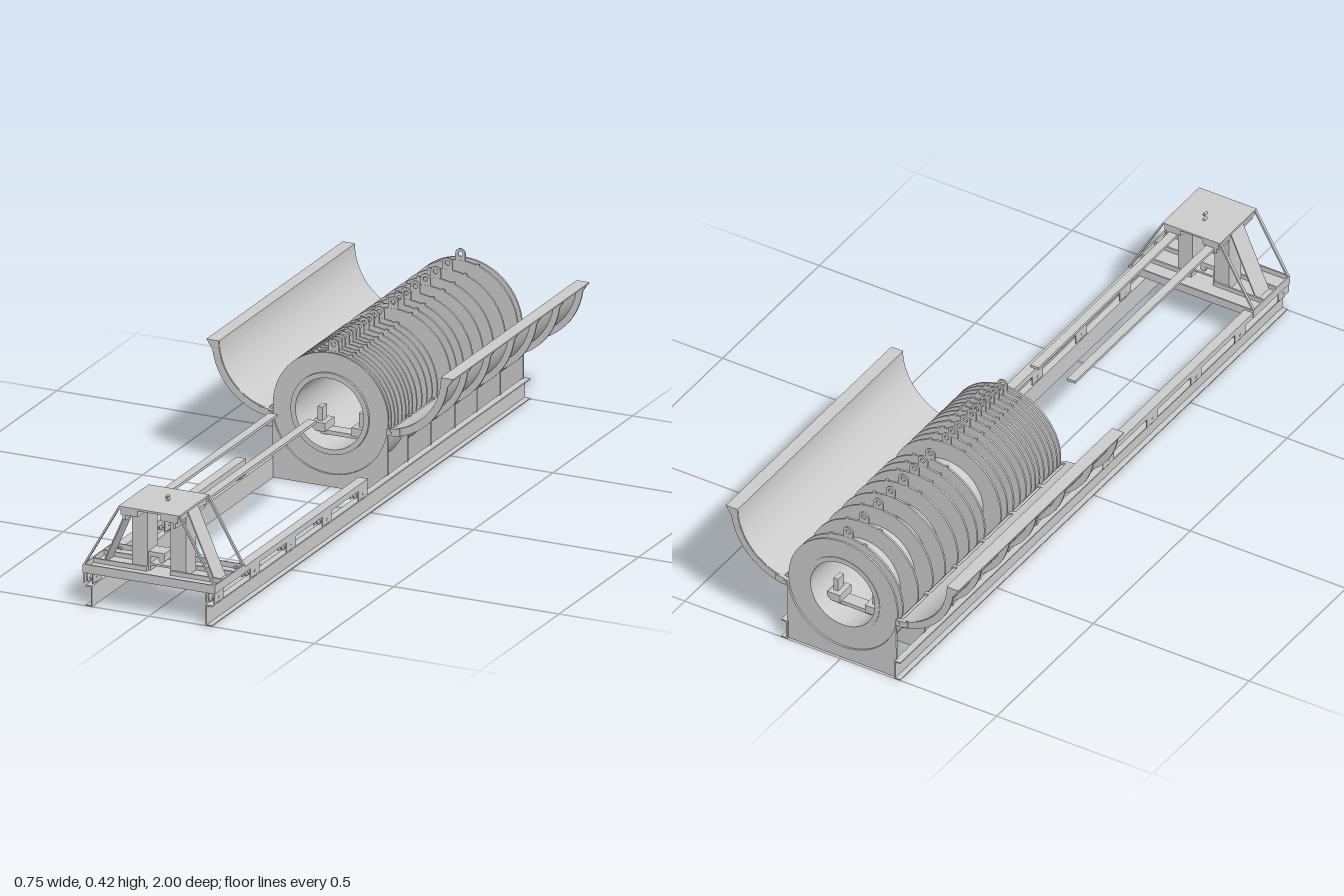
import * as THREE from 'three';
import { toCreasedNormals } from 'three/addons/utils/BufferGeometryUtils.js';

const mat = new THREE.MeshStandardMaterial({ color: 0xcccccc, side: THREE.DoubleSide });
const CY = 0.212, R = 0.175;          // axis height and trough radius
const Z_FRONT = -0.14, Z_BACK = -0.99;

export function createModel() {
  const root = new THREE.Group();

  function group(name) {
    const g = new THREE.Group();
    g.name = name;
    root.add(g);
    return g;
  }
  function add(parent, name, geo) {
    const m = new THREE.Mesh(geo, mat);
    m.name = name;
    parent.add(m);
    return m;
  }
  // box given by its limits on each axis
  function box(parent, name, x0, x1, y0, y1, z0, z1) {
    const g = new THREE.BoxGeometry(Math.abs(x1 - x0), Math.abs(y1 - y0), Math.abs(z1 - z0));
    g.translate((x0 + x1) / 2, (y0 + y1) / 2, (z0 + z1) / 2);
    return add(parent, name, g);
  }
  // flat outline in xy, extruded from z0 to z1
  function plate(parent, name, shape, z0, z1) {
    const g = new THREE.ExtrudeGeometry(shape, { depth: z1 - z0, bevelEnabled: false, curveSegments: 48 });
    g.translate(0, 0, z0);
    return add(parent, name, toCreasedNormals(g, 0.5));
  }
  function arc(cx, cy, r, a0, a1, n = 36) {
    return Array.from({ length: n + 1 }, (_, i) => {
      const a = THREE.MathUtils.degToRad(a0 + (a1 - a0) * i / n);
      return [cx + r * Math.cos(a), cy + r * Math.sin(a)];
    });
  }
  const outline = (pts, s = 1) => new THREE.Shape(pts.map(([x, y]) => new THREE.Vector2(x * s, y)));
  const band = (cx, cy, r0, r1, a0, a1) => [...arc(cx, cy, r0, a0, a1), ...arc(cx, cy, r1, a1, a0)];
  function bar(parent, name, x, y, z, r, len, axis = 'z', sides = 16) {
    const g = new THREE.CylinderGeometry(r, r, len, sides);
    if (axis === 'z') g.rotateX(Math.PI / 2);
    else if (axis === 'x') g.rotateZ(Math.PI / 2);
    g.translate(x, y, z);
    return add(parent, name, g);
  }

  const ribZ = [Z_FRONT, -0.265, -0.41, -0.56, -0.70, -0.845, Z_BACK];

  // channel rails running the whole length
  const rails = group('rails');
  for (const s of [-1, 1]) {
    box(rails, 'railWeb', s * 0.171, s * 0.175, 0, 0.06, -1, 1);
    box(rails, 'railLowerFlange', s * 0.171, s * 0.191, 0, 0.003, -1, 1);
    box(rails, 'railUpperFlange', s * 0.171, s * 0.191, 0.056, 0.06, -1, 1);
  }

  // lower trough with saddle plates
  const trough = group('trough');
  plate(trough, 'troughShell', outline(band(0, CY, R, R + 0.004, -172, -8)), Z_BACK, Z_FRONT);
  const saddle = outline([[-0.175, 0], [0.175, 0], [0.175, 0.185], ...arc(0, CY, R, -9, -171)]);
  for (const z of ribZ) plate(trough, 'saddle', saddle, z - 0.003, z + 0.003);

  // open quarter doors with ribs, rim and hinges
  const DX = 0.16, DY = 0.37;
  for (const s of [-1, 1]) {
    const door = group(s > 0 ? 'leftDoor' : 'rightDoor');
    plate(door, 'doorShell', outline(band(DX, DY, R, R + 0.004, -80, 0), s), Z_BACK, Z_FRONT);
    box(door, 'doorRim', s * 0.335, s * 0.373, 0.366, 0.37, Z_BACK, Z_FRONT);
    const rib = [...arc(DX, DY, R + 0.001, -82, 0), [0.373, 0.37], ...arc(DX, DY, 0.197, -8, -82)];
    const knuckle = [[0.171, 0.178], [0.19, 0.178], [0.212, 0.183], [0.212, 0.2], [0.186, 0.198], [0.173, 0.194]];
    for (const z of ribZ) {
      plate(door, 'doorRib', outline(rib, s), z - 0.003, z + 0.003);
      plate(door, 'hingeKnuckle', outline(knuckle, s), z - 0.006, z + 0.006);
    }
    bar(door, 'hingeRod', s * 0.182, 0.187, (Z_FRONT + Z_BACK) / 2, 0.006, 0.865);
  }

  // hollow drum core
  const drum = group('drum');
  const tube = new THREE.LatheGeometry([
    [0.103, 0.135], [0.118, 0.135], [0.118, 0.99], [0.103, 0.99], [0.103, 0.135],
  ].map(([r, y]) => new THREE.Vector2(r, y)), 64);
  tube.rotateX(-Math.PI / 2);
  tube.translate(0, CY, 0);
  add(drum, 'coreTube', toCreasedNormals(tube, 0.5));

  // thin discs with lifting eyes, wider apart toward the back
  const disc = new THREE.Shape();
  disc.absarc(0, CY, 0.1745, 0, Math.PI * 2);
  disc.holes.push(new THREE.Path().absarc(0, CY, 0.116, 0, Math.PI * 2, true));
  const lug = outline([[-0.015, 0.38], [0.015, 0.38], ...arc(0, 0.405, 0.015, 0, 180, 16)]);
  lug.holes.push(new THREE.Path().absarc(0, 0.405, 0.007, 0, Math.PI * 2, true));
  const discZ = [-0.145, -0.163, -0.184, -0.205, -0.23, -0.253, -0.274, -0.296, -0.322, -0.354, -0.387,
    -0.419, -0.451, -0.536, -0.574, -0.617, -0.675, -0.74, -0.804, -0.879, -0.959, -0.985];
  discZ.forEach((z, i) => {
    plate(drum, 'disc', disc, z - 0.003, z + 0.003);
    if (i === 0 || i === discZ.length - 1) return;
    plate(drum, 'liftingEye', lug, z - 0.0025, z + 0.0025);
    for (const s of [-1, 1]) box(drum, 'discTab', s * 0.048, s * 0.058, 0.376, 0.383, z - 0.003, z + 0.003);
  });

  // clamp blocks inside both ends of the drum
  for (const z of [-0.22, -0.91]) {
    for (const s of [-1, 1]) {
      box(drum, 'clampFoot', s * 0.04, s * 0.08, 0.135, 0.16, z - 0.03, z + 0.03);
      box(drum, 'clampPost', s * 0.055, s * 0.07, 0.15, 0.2, z - 0.015, z + 0.015);
    }
    box(drum, 'clampBridge', -0.06, 0.06, 0.125, 0.137, z - 0.02, z + 0.02);
  }

  // carriage side beams on grooved rollers
  const carriage = group('carriage');
  const rollerProfile = [[0, -0.012], [0.017, -0.012], [0.017, -0.008], [0.01, -0.003],
    [0.01, 0.003], [0.017, 0.008], [0.017, 0.012], [0, 0.012]].map(([r, y]) => new THREE.Vector2(r, y));
  for (const s of [-1, 1]) {
    box(carriage, 'sideBeamTop', s * 0.17, s * 0.199, 0.108, 0.112, 0.035, 0.82);
    box(carriage, 'sideBeamWeb', s * 0.17, s * 0.174, 0.095, 0.112, 0.035, 0.82);
    box(carriage, 'sideBeamLip', s * 0.195, s * 0.199, 0.095, 0.112, 0.035, 0.82);
    for (const z of [0.065, 0.292, 0.518, 0.745, 0.97]) {
      const g = new THREE.LatheGeometry(rollerProfile, 24);
      g.rotateZ(Math.PI / 2);
      g.translate(s * 0.184, 0.078, z);
      add(carriage, 'roller', toCreasedNormals(g, 0.4));
      box(carriage, 'rollerCheekOuter', s * 0.195, s * 0.198, 0.066, 0.097, z - 0.028, z + 0.028);
      box(carriage, 'rollerCheekInner', s * 0.17, s * 0.173, 0.066, 0.097, z - 0.028, z + 0.028);
      bar(carriage, 'rollerAxle', s * 0.184, 0.078, z, 0.004, 0.03, 'x');
    }
  }

  // carriage base frame
  box(carriage, 'baseFloor', -0.197, 0.197, 0.1, 0.105, 0.812, 0.998);
  for (const z of [0.81, 0.996]) box(carriage, 'baseCrossPlate', -0.2, 0.2, 0.095, 0.12, z, z + 0.004);
  for (const s of [-1, 1]) {
    box(carriage, 'baseSidePlate', s * 0.196, s * 0.2, 0.095, 0.12, 0.81, 1);
    for (const z of [0.868, 0.936]) box(carriage, 'baseStiffener', s * 0.035, s * 0.198, 0.1, 0.118, z, z + 0.005);
  }

  // tower: columns, sloping panels, corner struts and guide bars
  const tower = group('tower');
  box(tower, 'topPlate', -0.092, 0.092, 0.299, 0.305, 0.81, 1);
  for (const s of [-1, 1]) {
    box(tower, 'column', s * 0.035, s * 0.082, 0.104, 0.282, 0.874, 0.936);
    box(tower, 'topBeam', s * 0.035, s * 0.086, 0.281, 0.3, 0.812, 0.998);
    box(tower, 'guideBar', s * 0.046, s * 0.072, 0.272, 0.28, 0.095, 0.9);
    box(tower, 'guideBarHanger', s * 0.072, s * 0.08, 0.266, 0.283, 0.812, 0.998);
    const strut = outline([[0.194, 0.118], [0.2, 0.118], [0.093, 0.303], [0.087, 0.303]], s);
    for (const z of [0.811, 0.991]) plate(tower, 'cornerStrut', strut, z, z + 0.008);
    const panel = outline([[0.168, 0.104], [0.172, 0.104], [0.086, 0.3], [0.082, 0.3]], s);
    plate(tower, 'slopingPanel', panel, 0.874, 0.936);
  }
  box(tower, 'crossBar', -0.036, 0.036, 0.279, 0.283, 0.88, 0.93);

  // bracket between the columns and fittings on the top plate
  box(tower, 'bracketBase', -0.035, 0.035, 0.12, 0.126, 0.88, 0.93);
  box(tower, 'bracketBlock', -0.035, 0.014, 0.146, 0.16, 0.88, 0.93);
  box(tower, 'bracketPost', -0.035, -0.029, 0.104, 0.16, 0.88, 0.93);
  bar(tower, 'bracketPin', 0.005, 0.14, 0.905, 0.009, 0.05);
  bar(tower, 'topPin', 0, 0.309, 0.882, 0.004, 0.012);
  bar(tower, 'topPin', 0.012, 0.309, 0.902, 0.004, 0.012);
  const link = box(tower, 'topLink', -0.002, 0.002, -0.003, 0.003, -0.014, 0.014);
  link.position.set(0.006, 0.308, 0.892);
  link.rotation.y = 0.5;

  return root;
}
